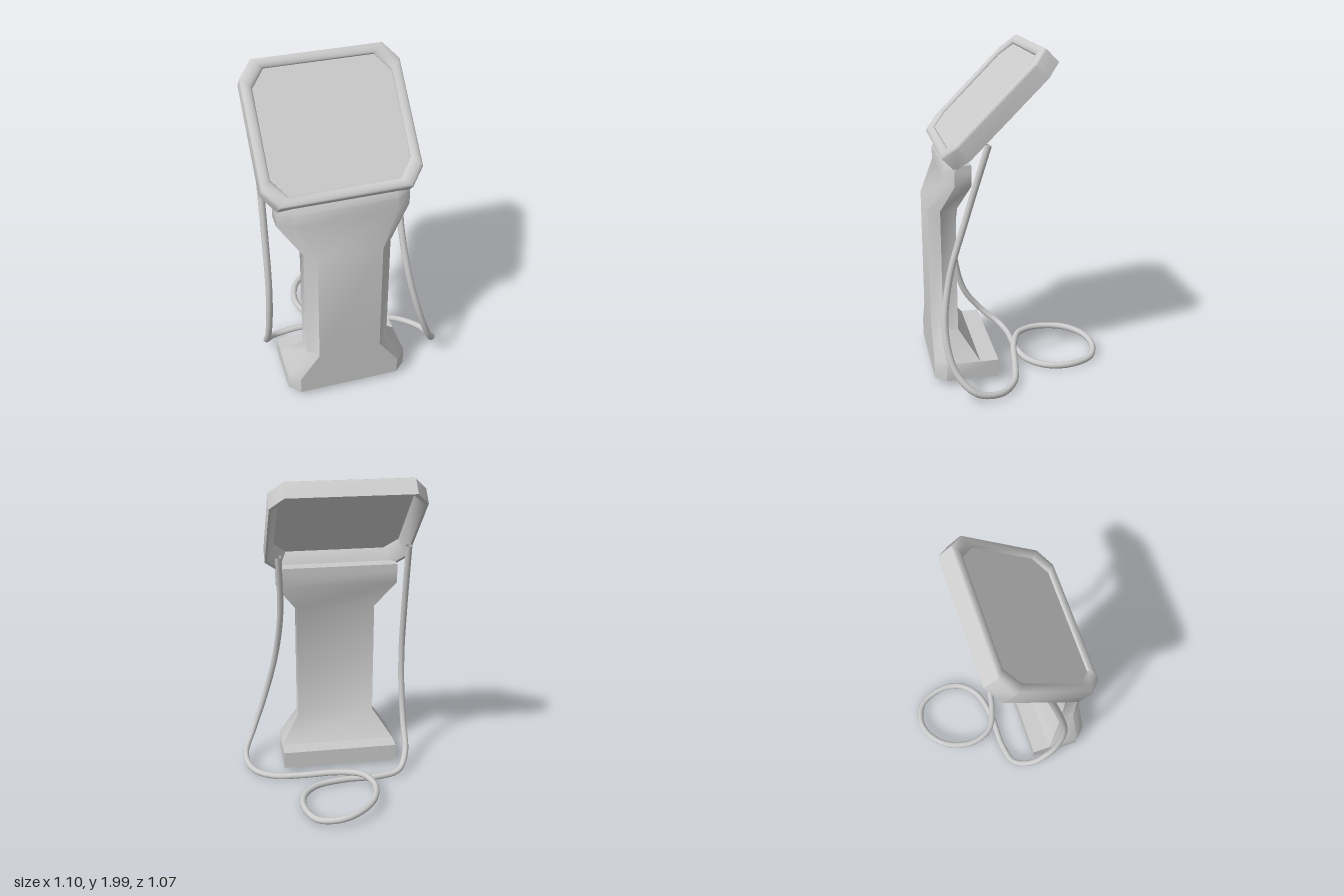
import * as THREE from 'three';
import { toCreasedNormals } from 'three/addons/utils/BufferGeometryUtils.js';

const material = new THREE.MeshStandardMaterial({ color: 0xcccccc, side: THREE.DoubleSide });
const CENTER_X = -0.095;

function part(name, geometry) {
  const mesh = new THREE.Mesh(geometry, material);
  mesh.name = name;
  return mesh;
}

// Skin a list of closed rings of [x, y, z] points; optionally close the last ring.
function loft(rings, cap = false) {
  const n = rings[0].length;
  const index = [];
  for (let i = 0; i < rings.length - 1; i++) {
    for (let j = 0; j < n; j++) {
      const a = i * n + j, b = i * n + (j + 1) % n;
      index.push(a, b, b + n, a, b + n, a + n);
    }
  }
  if (cap) {
    const s = (rings.length - 1) * n;
    for (let j = 1; j < n - 1; j++) index.push(s, s + j, s + j + 1);
  }
  const g = new THREE.BufferGeometry();
  g.setAttribute('position', new THREE.Float32BufferAttribute(rings.flat(2), 3));
  g.setIndex(index);
  return toCreasedNormals(g, 0.7);
}

// Column section: flat back, chamfered front corners.
function columnRing([y, w, f, front, side, back]) {
  return [[-f, front], [f, front], [w, side], [w, back], [-w, back], [-w, side]]
    .map(([x, z]) => [x, y, z]);
}

// Rectangle with clipped corners, counter-clockwise from the bottom edge.
function octagon(inset, z) {
  const w = 0.455 - inset, h = 0.417 - inset, cx = 0.08, cy = 0.105;
  return [[-w + cx, -h], [w - cx, -h], [w, -h + cy], [w, h - cy],
    [w - cx, h], [-w + cx, h], [-w, h - cy], [-w, -h + cy]].map(([x, y]) => [x, y, z]);
}

export function createModel() {
  const model = new THREE.Group();

  // Pedestal: plinth, ledge, waist and flared neck, open underneath
  // Columns: y, half width, front half width, front z, side z, back z
  const column = part('pedestal', loft([
    [0.03, 0.375, 0.31, 0.535, 0.47, 0.155],
    [0.14, 0.375, 0.31, 0.535, 0.47, 0.155],
    [0.14, 0.375, 0.31, 0.535, 0.47, 0.265],
    [0.31, 0.255, 0.19, 0.535, 0.47, 0.38],
    [1.06, 0.255, 0.19, 0.535, 0.47, 0.38],
    [1.24, 0.385, 0.30, 0.445, 0.40, 0.305],
    [1.32, 0.385, 0.30, 0.445, 0.40, 0.305],
    [1.36, 0.385, 0.30, 0.42, 0.39, 0.305],
  ].map(columnRing), true));
  column.position.x = CENTER_X;
  model.add(column);

  // Tilted display: rounded bezel with a hollow back and a recessed panel
  const display = new THREE.Group();
  display.name = 'display';
  display.position.set(CENTER_X, 1.665, 0.1425);
  display.rotation.x = -Math.PI / 4;
  const bezelProfile = [[0.06, 0.036], [0.015, -0.06], [0, -0.06], [0, 0.04]];
  for (let i = 1; i <= 8; i++) {
    const a = Math.PI * i / 8;
    bezelProfile.push([0.03 - 0.03 * Math.cos(a), 0.04 + 0.02 * Math.sin(a)]);
  }
  bezelProfile.push([0.06, 0.036]);
  display.add(part('bezel', loft(bezelProfile.map(([inset, z]) => octagon(inset, z)))));
  const outline = octagon(0.06, 0).map(([x, y]) => new THREE.Vector2(x, y));
  const panel = part('screenPanel', new THREE.ShapeGeometry(new THREE.Shape(outline)));
  panel.position.z = 0.037;
  display.add(panel);
  model.add(display);

  // One cable: down the left side, around a floor coil, up the right side
  const path = new THREE.CatmullRomCurve3([
    [0.285, 1.47, 0.205], [0.27, 1.05, 0.335], [0.305, 0.7, 0.445], [0.38, 0.4, 0.485],
    [0.465, 0.18, 0.44], [0.525, 0.065, 0.33], [0.485, 0.025, 0.18], [0.36, 0.025, 0.075],
    [0.18, 0.04, 0.03], [-0.05, 0.065, -0.01], [-0.2, 0.078, -0.08], [-0.255, 0.08, -0.22],
    [-0.21, 0.078, -0.39], [-0.1, 0.065, -0.49], [0.02, 0.045, -0.515], [0.14, 0.025, -0.465],
    [0.205, 0.02, -0.32], [0.19, 0.02, -0.18], [0.09, 0.02, -0.075], [-0.1, 0.02, -0.03],
    [-0.32, 0.02, -0.025], [-0.46, 0.035, 0.01], [-0.525, 0.11, 0.11], [-0.535, 0.27, 0.235],
    [-0.53, 0.5, 0.295], [-0.525, 0.75, 0.305], [-0.52, 1.1, 0.25], [-0.515, 1.52, 0.16],
  ].map((p) => new THREE.Vector3(...p)));
  model.add(part('cable', new THREE.TubeGeometry(path, 200, 0.02, 12)));

  return model;
}
